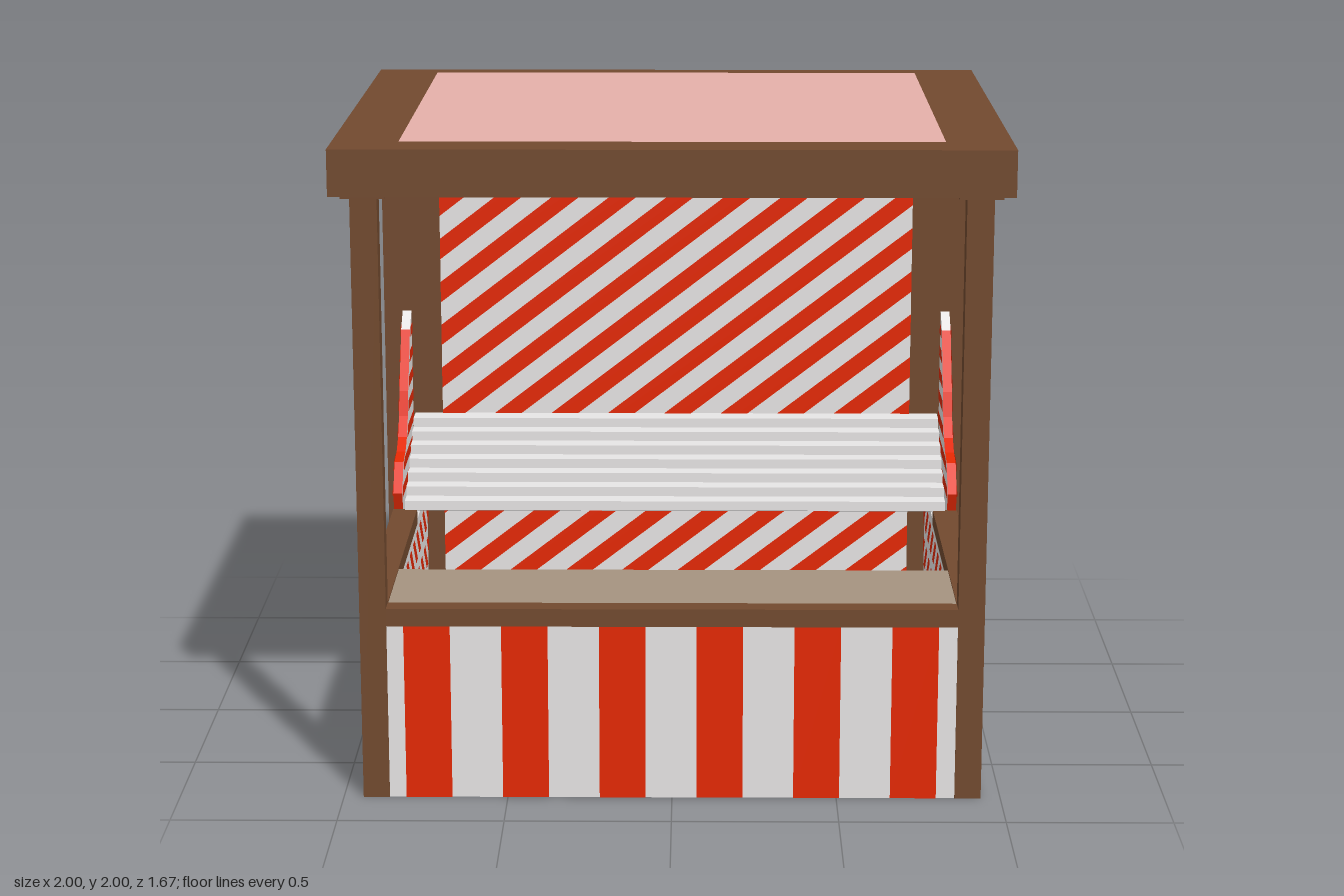
import * as THREE from 'three';

const mat = (name, color) => {
  const m = new THREE.MeshStandardMaterial({ color });
  m.name = name;
  return m;
};

// Keep the part of a 2D polygon where a*u + b*v >= c
function clip(poly, a, b, c) {
  const out = [];
  poly.forEach((p, i) => {
    const q = poly[(i + 1) % poly.length];
    const dp = a * p[0] + b * p[1] - c, dq = a * q[0] + b * q[1] - c;
    if (dp >= 0) out.push(p);
    if ((dp >= 0) !== (dq >= 0)) {
      const t = dp / (dp - dq);
      out.push([p[0] + (q[0] - p[0]) * t, p[1] + (q[1] - p[1]) * t]);
    }
  });
  return out;
}

const toShape = (pts) => new THREE.Shape(pts.map(([u, v]) => new THREE.Vector2(u, v)));
const rect = (u0, u1, v0, v1) => [[u0, v0], [u1, v0], [u1, v1], [u0, v1]];

export function createModel() {
  const root = new THREE.Group();
  root.name = 'marketStall';
  const wood = mat('brown wood', 0x724a2f);
  const white = mat('off white', 0xe8e6e6);
  const red = mat('stripe red', 0xe52803);
  const pink = mat('roof pink', 0xe6b0aa);
  const tan = mat('counter tan', 0xa59380);
  red.side = THREE.DoubleSide;

  // Box given by its extents; material may be an array of six
  function box(name, x0, x1, y0, y1, z0, z1, material) {
    const m = new THREE.Mesh(new THREE.BoxGeometry(x1 - x0, y1 - y0, z1 - z0), material);
    m.position.set((x0 + x1) / 2, (y0 + y1) / 2, (z0 + z1) / 2);
    m.name = name;
    root.add(m);
  }

  // A (z, y) profile extruded along x from x0 to x1
  function extrudeX(name, profile, x0, x1, material) {
    const geo = new THREE.ExtrudeGeometry(toShape(profile), { depth: x1 - x0, bevelEnabled: false });
    const m = new THREE.Mesh(geo, material);
    m.name = name;
    m.rotation.y = -Math.PI / 2;
    m.position.x = x1;
    root.add(m);
  }

  // Red bands start <= a*u + b*v <= start + width, repeated, within a polygon
  function stripes(name, poly, [a, b], start, width, period, place) {
    const g = new THREE.Group();
    g.name = name;
    const d = poly.map(([u, v]) => a * u + b * v);
    const lo = Math.min(...d), hi = Math.max(...d);
    const first = Math.floor((lo - start) / period);
    for (let c = start + first * period; c < hi; c += period) {
      const band = clip(clip(poly, a, b, c), -a, -b, -(c + width));
      if (band.length < 3) continue;
      const m = new THREE.Mesh(new THREE.ShapeGeometry(toShape(band)), red);
      m.name = 'stripe';
      g.add(m);
    }
    place(g);
    root.add(g);
  }
  const onZ = (z) => (g) => { g.position.z = z; };
  const onX = (x) => (g) => { g.rotation.y = -Math.PI / 2; g.position.x = x; };

  // Back wall with diagonal stripes on its inside
  box('backWall', -1, 1, 0, 2, -0.836, -0.765, [wood, wood, wood, white, wood, wood]);
  box('backCloth', -0.805, 0.805, 0, 1.99, -0.765, -0.76, white);
  stripes('backStripes', rect(-0.805, 0.805, 0, 1.99), [-0.77, 1], 1.23, 0.071, 0.15, onZ(-0.757));

  // Hollow roof frame, unpainted inside, with a pink top panel
  box('roofFront', -1, 1, 1.86, 2, 0.69, 0.836, [wood, wood, wood, wood, wood, white]);
  box('roofLeft', 0.803, 1, 1.86, 2, -0.765, 0.69, [wood, white, wood, wood, wood, wood]);
  box('roofRight', -1, -0.803, 1.86, 2, -0.765, 0.69, [white, wood, wood, wood, wood, wood]);
  box('roofPanel', -0.803, 0.803, 1.99, 2, -0.765, 0.69, pink);

  // Front posts with thin plates under the roof
  box('leftPost', 0.86, 0.94, 0, 1.86, 0.735, 0.8, [wood, wood, wood, white, wood, white]);
  box('rightPost', -0.94, -0.86, 0, 1.86, 0.735, 0.8, [wood, wood, wood, white, wood, wood]);
  for (const x of [-0.9, 0.9]) {
    box('postPlate', x - 0.065, x + 0.065, 1.854, 1.862, 0.72, 0.83, [wood, wood, wood, white, wood, wood]);
  }

  // Front panel, rail and counter
  box('frontPanel', -0.86, 0.86, 0, 0.545, 0.735, 0.797, white);
  stripes('frontStripes', rect(-0.86, 0.86, 0, 0.545), [1, 0], -0.809, 0.14, 0.2945, onZ(0.799));
  box('frontRail', -0.86, 0.86, 0.545, 0.6, 0.735, 0.8, wood);
  box('counter', -0.86, 0.86, 0.545, 0.595, 0.37, 0.735, [wood, wood, tan, white, wood, wood]);

  // Sides: low panel, rail and wavy wing
  const wing = [[-0.76, 0.55], [-0.31, 0.55], [-0.31, 0.6], [-0.29, 0.66], [-0.36, 0.75],
    [-0.44, 0.765], [-0.5, 0.8], [-0.55, 0.86], [-0.58, 0.94], [-0.64, 1.04], [-0.69, 1.13], [-0.76, 1.18]];
  const wingStripes = clip(wing, 0, 1, 0.61);
  for (const s of [-1, 1]) {
    const span = (a, b) => [Math.min(s * a, s * b), Math.max(s * a, s * b)];
    box('sidePanel', ...span(0.865, 0.937), 0, 0.55, -0.76, 0.735, white);
    stripes('sideStripes', rect(-0.76, 0.735, 0, 0.55), [1, 0], 0.523, 0.108, 0.2195, onX(s * 0.939));
    // Rows of slanted dashes on the inside
    for (let y = 0.02; y < 0.5; y += 0.135) {
      stripes('innerDashes', rect(-0.76, 0.735, y, y + 0.095), [-0.9, 1], 0, 0.055, 0.11, onX(s * 0.862));
    }
    box('sideRail', ...span(0.86, 0.94), 0.55, 0.6, -0.31, 0.735, wood);

    // Wing with a red front edge and a white tip
    extrudeX('wing', clip(wing, 1, 0, -0.69), ...span(0.907, 0.937), [white, red]);
    extrudeX('wingTip', clip(wing, -1, 0, 0.69), ...span(0.907, 0.937), white);
    for (const x of [0.939, 0.905]) {
      stripes('wingStripes', wingStripes, [0, 1], 0.645, 0.037, 0.0765, onX(s * x));
    }
  }

  // Stepped display rack in front of the back wall
  const steps = 7, rise = 0.22 / steps, run = 0.064;
  const profile = [];
  for (let i = 0; i < steps; i++) {
    const z = -0.3 - run * i;
    profile.push([z, 0.6 + rise * i], [z, 0.6 + rise * (i + 1)]);
  }
  profile.push([-0.76, 0.82], [-0.76, 0.78], [-0.33, 0.59]);
  extrudeX('displaySteps', profile, -0.9, 0.9, white);

  return root;
}
